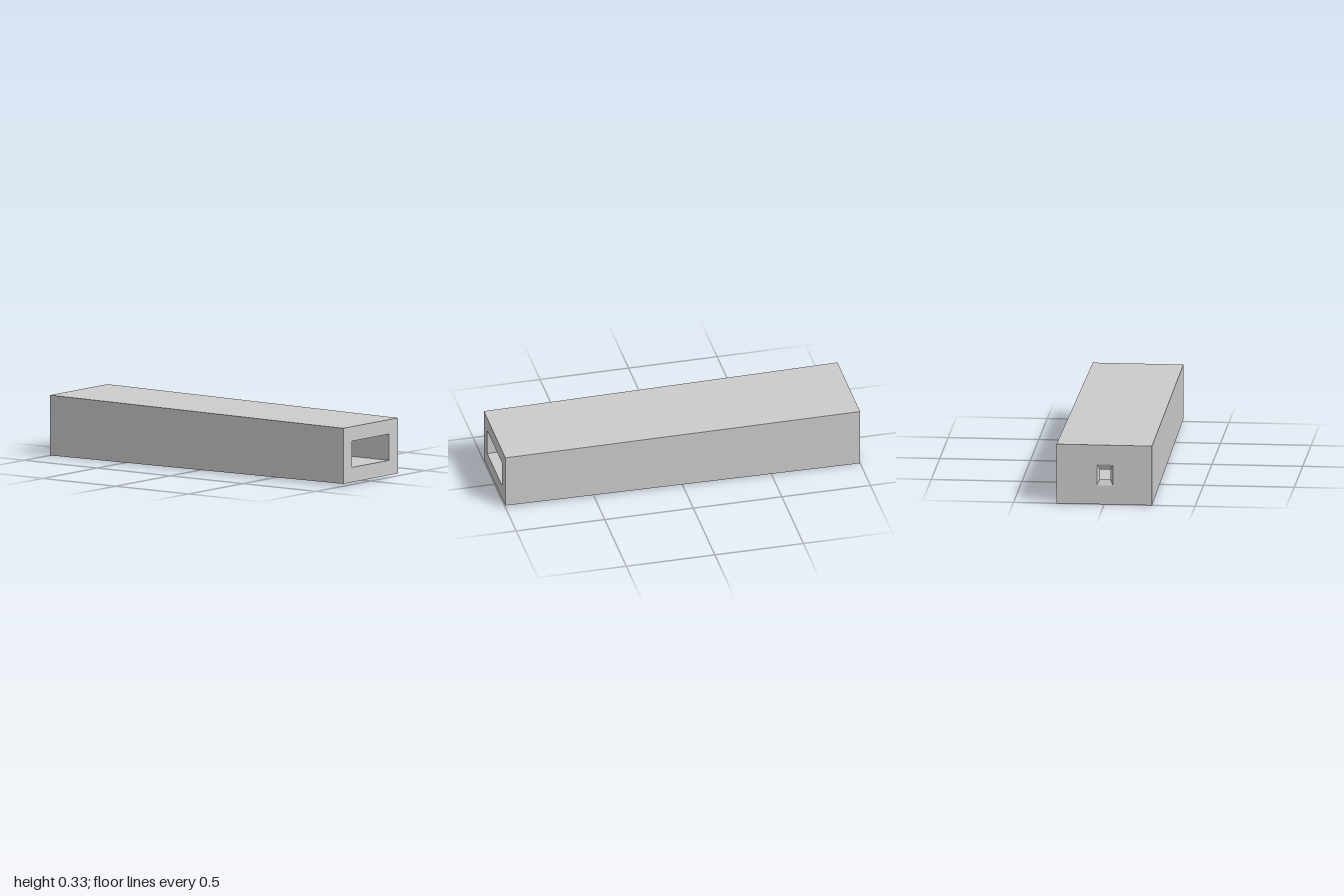
import * as THREE from 'three';

// Rectangular ring: corners counter-clockwise seen from the front
const ring = (x0, x1, y0, y1, z) => [[x0, y0, z], [x1, y0, z], [x1, y1, z], [x0, y1, z]];

// Flat-sided skin joining each ring to the next
function skin(name, rings, material) {
  const pos = [];
  for (let r = 0; r < rings.length - 1; r++) {
    const a = rings[r], b = rings[r + 1];
    for (let i = 0; i < 4; i++) {
      const j = (i + 1) % 4;
      pos.push(...a[i], ...a[j], ...b[j], ...a[i], ...b[j], ...b[i]);
    }
  }
  const geo = new THREE.BufferGeometry();
  geo.setAttribute('position', new THREE.Float32BufferAttribute(pos, 3));
  geo.computeVertexNormals();
  const mesh = new THREE.Mesh(geo, material);
  mesh.name = name;
  return mesh;
}

export function createModel() {
  const group = new THREE.Group();
  group.name = 'taperedSleeve';
  const material = new THREE.MeshStandardMaterial({ color: 0xcccccc, flatShading: true });

  const backWall = 0.015;
  const holeOuter = ring(-0.048, 0.041, 0.107, 0.224, -1);
  const holeInner = ring(-0.032, 0.025, 0.138, 0.193, -1 + backWall);
  const back = ring(-0.263, 0.263, 0, 0.334, -1);
  const front = ring(-0.25, 0.25, 0.013, 0.321, 1);
  const mouth = ring(-0.171, 0.17, 0.095, 0.241, 1);
  const cavityEnd = ring(-0.171, 0.17, 0.095, 0.241, -1 + backWall);

  // Outer body: back face, tapered sides and front rim
  group.add(skin('outerShell', [holeOuter, back, front, mouth], material));
  // Straight pocket with its end wall
  group.add(skin('cavity', [mouth, cavityEnd, holeInner], material));
  // Funnel-shaped opening through the end wall
  group.add(skin('backHole', [holeInner, holeOuter], material));
  return group;
}
